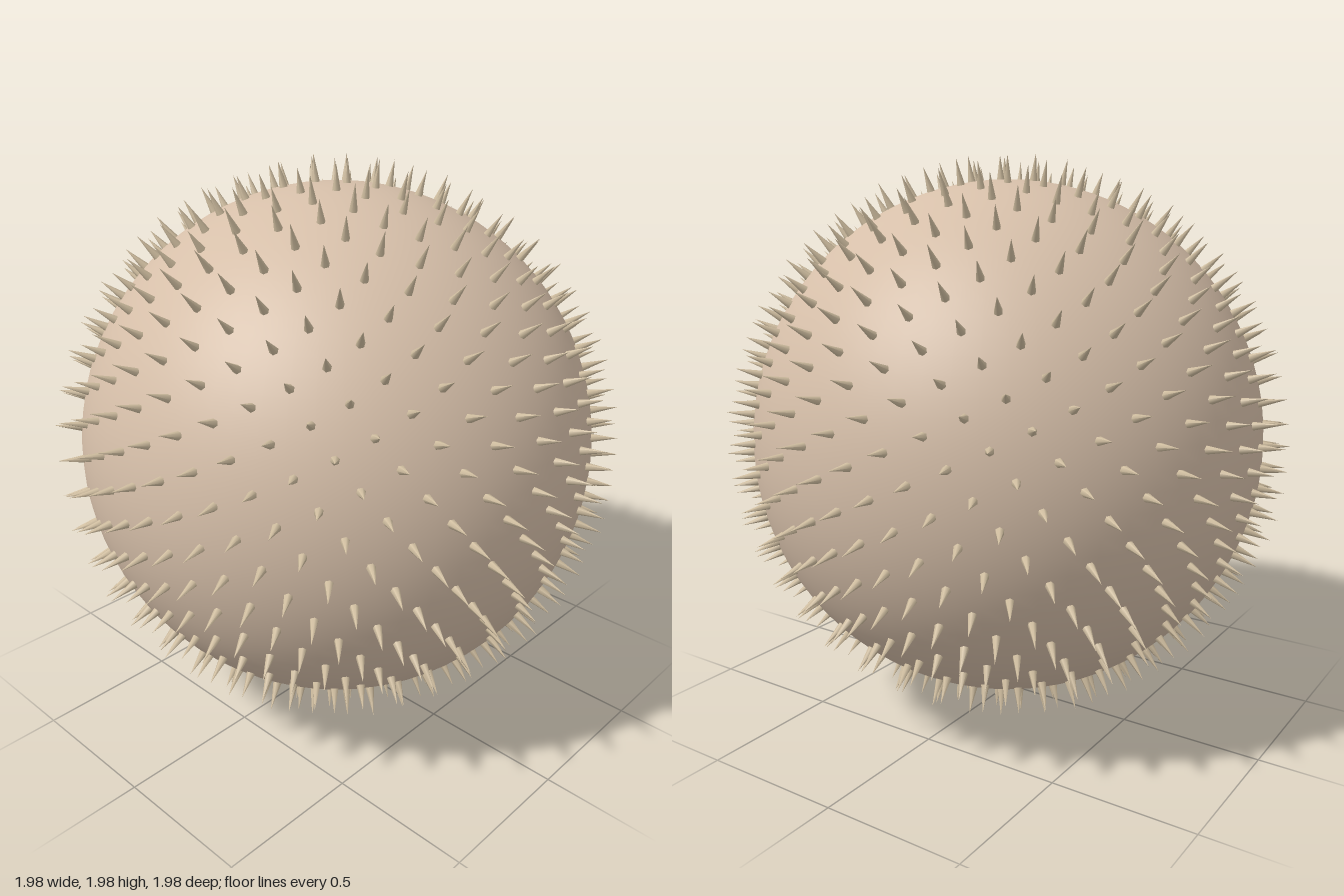
import * as THREE from 'three';
import { mergeGeometries } from 'three/addons/utils/BufferGeometryUtils.js';

const RADIUS = 0.905;
const SPIKES = 700;
const GOLDEN_ANGLE = Math.PI * (3 - Math.sqrt(5));

// Small seeded generator for the spike lengths
function seeded(seed) {
  return () => {
    seed = (seed * 16807) % 2147483647;
    return seed / 2147483647;
  };
}

export function createModel() {
  const group = new THREE.Group();
  group.name = 'spikyBall';

  // Smooth round body
  const body = new THREE.Mesh(
    new THREE.SphereGeometry(RADIUS, 64, 48),
    new THREE.MeshStandardMaterial({ color: 0xd6bfa9 })
  );
  body.name = 'body';
  body.position.y = 1;
  group.add(body);

  // Spikes spread evenly in a golden-angle spiral, each pointing outwards
  const random = seeded(17);
  const up = new THREE.Vector3(0, 1, 0);
  const turn = new THREE.Quaternion();
  const cones = [];
  for (let i = 0; i < SPIKES; i++) {
    const y = 1 - (2 * (i + 0.5)) / SPIKES;
    const ring = Math.sqrt(1 - y * y);
    const angle = i * GOLDEN_ANGLE;
    const direction = new THREE.Vector3(Math.cos(angle) * ring, y, Math.sin(angle) * ring);
    const length = 0.085 + 0.015 * random();
    const cone = new THREE.ConeGeometry(0.015, length, 6, 1, true);
    cone.translate(0, RADIUS - 0.005 + length / 2, 0);
    cone.applyQuaternion(turn.setFromUnitVectors(up, direction));
    cones.push(cone);
  }
  const spikes = new THREE.Mesh(
    mergeGeometries(cones),
    new THREE.MeshStandardMaterial({ color: 0xd2c0a2 })
  );
  spikes.name = 'spikes';
  spikes.position.y = 1;
  group.add(spikes);

  return group;
}
